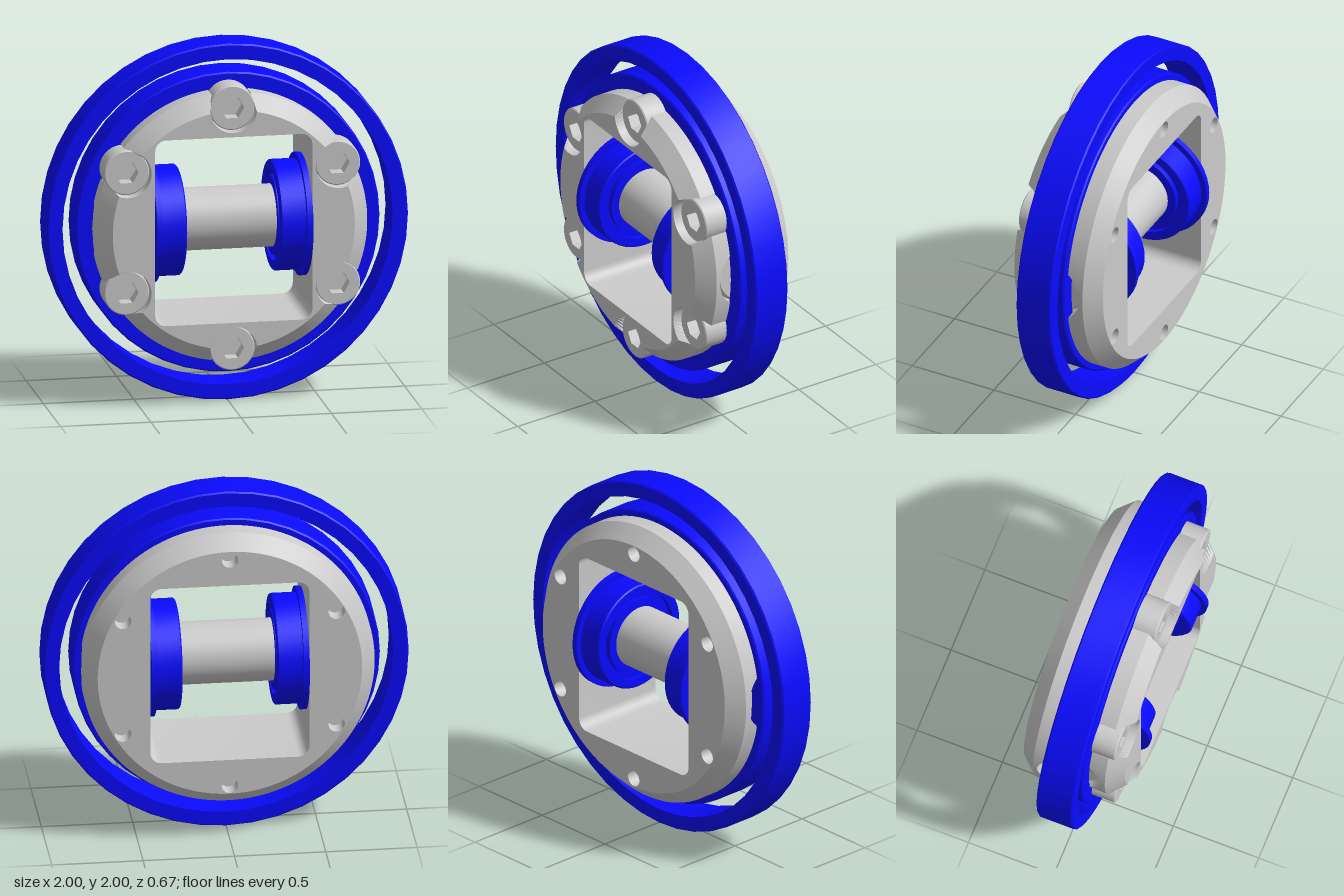
import * as THREE from 'three';
import { toCreasedNormals } from 'three/addons/utils/BufferGeometryUtils.js';

const grey = new THREE.MeshStandardMaterial({ color: 0xcccccc });
const blue = new THREE.MeshStandardMaterial({ color: 0x0a0aff });

const BOLT_R = 0.675, POCKET = 0.13, BORE = 0.178;
const FACE = 0.285, SEAT = 0.105;
const boltAngles = Array.from({ length: 6 }, (_, k) => Math.PI / 6 + (k * Math.PI) / 3);

function part(name, geometry, material) {
  const mesh = new THREE.Mesh(toCreasedNormals(geometry, 0.5), material);
  mesh.name = name;
  return mesh;
}

// Skin through equal-length loops of Vector3 (counter-clockwise loops, rising z, face outwards)
function loft(loops) {
  const n = loops[0].length, pos = [], index = [];
  loops.forEach(loop => loop.forEach(p => pos.push(p.x, p.y, p.z)));
  for (let j = 0; j < loops.length - 1; j++) {
    for (let i = 0; i < n; i++) {
      const a = j * n + i, b = j * n + (i + 1) % n;
      index.push(a, b, b + n, a, b + n, a + n);
    }
  }
  const g = new THREE.BufferGeometry();
  g.setAttribute('position', new THREE.Float32BufferAttribute(pos, 3));
  g.setIndex(index);
  return g;
}

const atZ = (pts, z) => pts.map(p => new THREE.Vector3(p.x, p.y, typeof z === 'function' ? z(p) : z));

function circle(r, n, cx = 0, cy = 0, phase = 0) {
  return Array.from({ length: n }, (_, i) => {
    const a = phase + (i / n) * Math.PI * 2;
    return new THREE.Vector2(cx + r * Math.cos(a), cy + r * Math.sin(a));
  });
}

// Circle of radius R with six round bolt pockets bitten out of it
function pocketOutline(R) {
  const pts = [], d = BOLT_R;
  const phi = Math.acos((R * R + d * d - POCKET * POCKET) / (2 * R * d));
  const beta = Math.atan2(R * Math.sin(phi), R * Math.cos(phi) - d);
  for (const a of boltAngles) {
    for (let i = 0; i < 20; i++) {
      const t = a - beta - (i / 20) * (2 * Math.PI - 2 * beta);
      pts.push(new THREE.Vector2(d * Math.cos(a) + POCKET * Math.cos(t), d * Math.sin(a) + POCKET * Math.sin(t)));
    }
    for (let i = 0; i < 32; i++) {
      const t = a + phi + (i / 32) * (Math.PI / 3 - 2 * phi);
      pts.push(new THREE.Vector2(R * Math.cos(t), R * Math.sin(t)));
    }
  }
  return pts;
}

// Rounded rectangular window through the housing
function windowOutline() {
  const w = 0.435, h = 0.522, r = 0.06, pts = [];
  [[1, 1], [-1, 1], [-1, -1], [1, -1]].forEach(([sx, sy], q) => {
    for (let i = 0; i <= 8; i++) {
      const a = (q + i / 8) * Math.PI / 2;
      pts.push(new THREE.Vector2(sx * (w - r) + r * Math.cos(a), sy * (h - r) + r * Math.sin(a)));
    }
  });
  return pts;
}

function plate(outline, holes) {
  const shape = new THREE.Shape(outline);
  holes.forEach(h => shape.holes.push(new THREE.Path(h)));
  return new THREE.ShapeGeometry(shape);
}

// Closed ring of revolution about the lathe axis, profile as [radius, height]
const ring = (profile, segments) =>
  new THREE.LatheGeometry(profile.map(([r, y]) => new THREE.Vector2(r, y)), segments);

function race(name, inner, outer) {
  const h = SEAT, c = 0.008;
  const g = ring([[inner, -h], [outer - c, -h], [outer, c - h], [outer, h - c], [outer - c, h], [inner, h], [inner, -h]], 44);
  return part(name, g.rotateX(Math.PI / 2), blue);
}

function makeHousing() {
  const housing = new THREE.Group();
  housing.name = 'housing';
  const win = windowOutline();
  // Wall edge rises over the shaft bore
  const boreZ = p => Math.max(SEAT - 0.005, Math.sqrt(Math.max(0, BORE * BORE - p.y * p.y)));

  // Front half: pocketed wall, chamfer and face
  const front = pocketOutline(0.755), frontRim = pocketOutline(0.67);
  housing.add(part('frontWall', loft([atZ(front, boreZ), atZ(front, 0.2), atZ(frontRim, FACE)]), grey));
  housing.add(part('frontFace', plate(frontRim, [win]).translate(0, 0, FACE), grey));

  // Back flange with chamfer and bolt holes in its face
  const back = circle(0.802, 180), backRim = circle(0.724, 180);
  housing.add(part('backFlange', loft([atZ(backRim, -FACE), atZ(back, -0.2), atZ(back, p => -boreZ(p))]), grey));
  const holes = boltAngles.map(a => circle(0.045, 24, BOLT_R * Math.cos(a), BOLT_R * Math.sin(a)));
  housing.add(part('backFace', plate(backRim, [win, ...holes]).rotateY(Math.PI).translate(0, 0, -FACE), grey));
  holes.forEach(h => {
    const wall = [...h].reverse();
    housing.add(part('boltHole', loft([atZ(wall, -FACE), atZ(wall, -0.2)]), grey));
    housing.add(part('boltEnd', plate(h, []).rotateY(Math.PI).translate(0, 0, -0.2), grey));
  });

  // Inner walls of the window
  const inside = [...win].reverse();
  housing.add(part('windowWalls', loft([atZ(inside, -FACE), atZ(inside, FACE)]), grey));

  // Shaft bores, trimmed to the curved outside
  const boreMaterial = grey.clone();
  boreMaterial.side = THREE.DoubleSide;
  for (const s of [1, -1]) {
    const g = new THREE.CylinderGeometry(BORE, BORE, 1, 64, 1, true).rotateZ(-Math.PI / 2);
    const p = g.attributes.position;
    for (let i = 0; i < p.count; i++) {
      const R = p.getZ(i) > 0 ? 0.755 : 0.802;
      const outer = p.getX(i) * s > 0;
      p.setX(i, s * (outer ? Math.sqrt(R * R - p.getY(i) ** 2) : 0.435));
    }
    housing.add(part('shaftBore', g, boreMaterial));
  }
  return housing;
}

// Socket-head bolt: hexagonal recess, head standing on the pocket floor
function makeBolt(angle) {
  const bolt = new THREE.Group();
  bolt.name = 'bolt';
  const hex = circle(0.066, 6), top = 0.14;
  const c = 0.006, r = 0.125;
  const side = [[r, 0], [r, top - c], [r - c, top]].map(([rad, z]) => atZ(circle(rad, 40), z));
  const hexWall = [...hex].reverse();
  bolt.add(part('headSide', loft(side), grey));
  bolt.add(part('headTop', plate(circle(r - c, 40), [hex]).translate(0, 0, top), grey));
  bolt.add(part('socketWall', loft([atZ(hexWall, 0.06), atZ(hexWall, top)]), grey));
  bolt.add(part('socketFloor', plate(hex, []).translate(0, 0, 0.06), grey));
  bolt.add(part('pocketFloor', new THREE.CircleGeometry(POCKET, 40), grey));
  const under = new THREE.CircleGeometry(r, 40).rotateY(Math.PI);
  bolt.add(part('headUnderside', under, grey));
  bolt.position.set(BOLT_R * Math.cos(angle), BOLT_R * Math.sin(angle), 0.1);
  return bolt;
}

export function createModel() {
  const model = new THREE.Group();
  model.name = 'wheelAssembly';

  // Large bearing: two races with an open gap
  model.add(race('outerRace', 0.914, 1), race('innerRace', 0.75, 0.842));
  model.add(makeHousing());
  boltAngles.forEach(a => model.add(makeBolt(a)));

  // Cross shaft with chamfered ends
  const shaft = ring([[0, -0.72], [0.155, -0.72], [0.172, -0.703], [0.172, 0.703], [0.155, 0.72], [0, 0.72]], 64);
  model.add(part('shaft', shaft.rotateZ(-Math.PI / 2), grey));

  // Flanged bearings against the window sides
  const profile = [
    [0.17, 0.26], [0.22, 0.26], [0.22, 0.29], [0.25, 0.29], [0.25, 0.26], [0.297, 0.26], [0.304, 0.267],
    [0.304, 0.4], [0.337, 0.4], [0.337, 0.432], [0.17, 0.432], [0.17, 0.26],
  ];
  for (const s of [1, -1]) {
    model.add(part(s > 0 ? 'leftFlangedBearing' : 'rightFlangedBearing', ring(profile, 44).rotateZ(-s * Math.PI / 2), blue));
  }

  model.position.y = 1;
  const root = new THREE.Group();
  root.name = 'model';
  root.add(model);
  return root;
}
